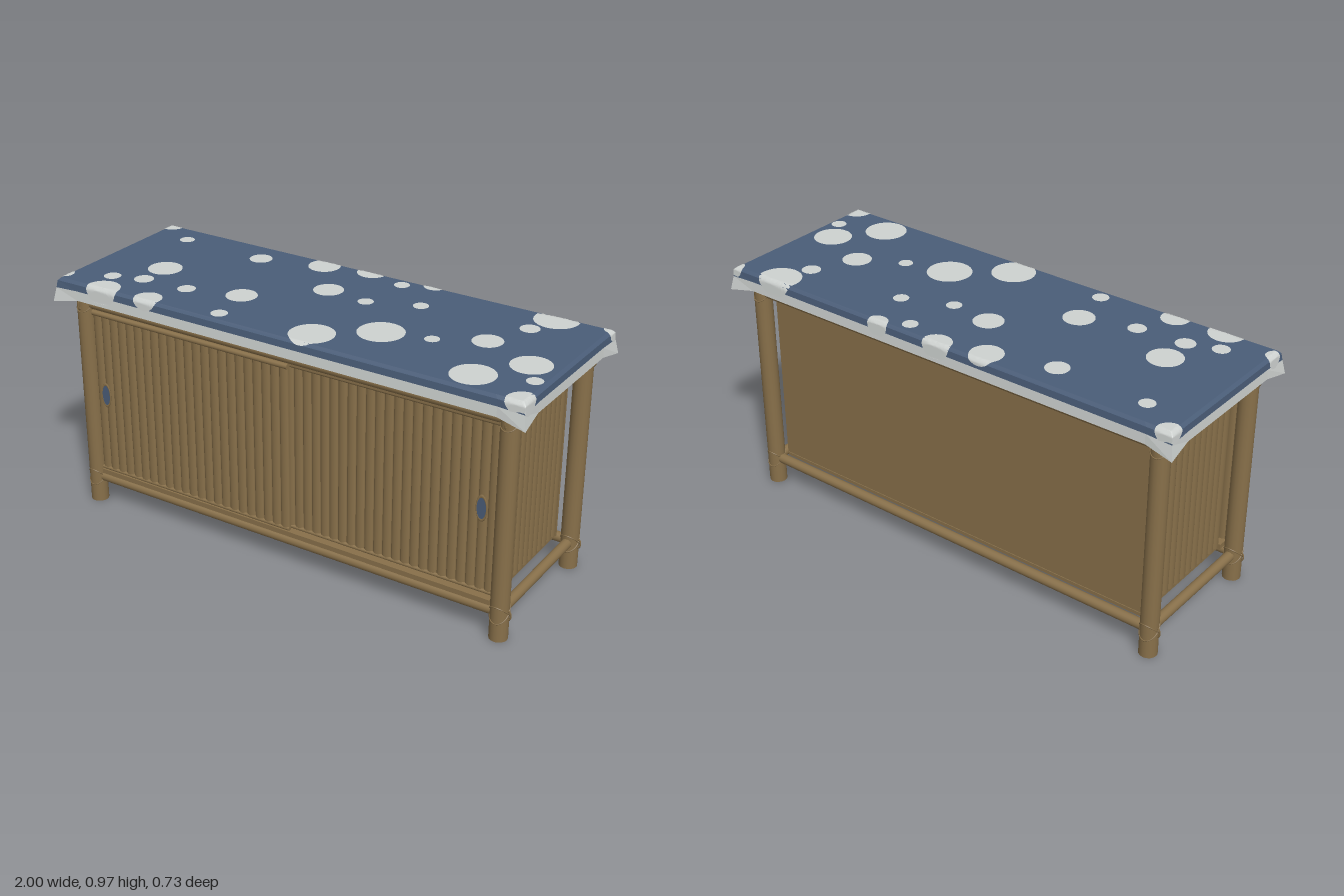
import * as THREE from 'three';

const mat = (name, color, side = THREE.FrontSide) => {
  const m = new THREE.MeshStandardMaterial({ color, side });
  m.name = name;
  return m;
};

export function createModel() {
  const bamboo = mat('bamboo', 0x88704a);
  const blue = mat('blueCloth', 0x4a5d78, THREE.DoubleSide);
  const white = mat('whiteCloth', 0xced2d0, THREE.DoubleSide);
  const root = new THREE.Group();
  root.name = 'cabinet';

  const add = (name, geo, material, x = 0, y = 0, z = 0, parent = root) => {
    const m = new THREE.Mesh(geo, material);
    m.name = name;
    m.position.set(x, y, z);
    parent.add(m);
    return m;
  };
  const box = (name, w, h, d, x, y, z) => add(name, new THREE.BoxGeometry(w, h, d), bamboo, x, y, z);
  const pole = (name, axis, r, len, x, y, z, parent = root) => {
    const g = new THREE.CylinderGeometry(r, r, len, 16);
    if (axis === 'x') g.rotateZ(Math.PI / 2);
    if (axis === 'z') g.rotateX(Math.PI / 2);
    return add(name, g, bamboo, x, y, z, parent);
  };

  // Rope crossing diagonally around a leg
  const lashing = (tilt) => {
    const pts = [];
    for (let i = 0; i < 20; i++) {
      const a = (i / 20) * Math.PI * 2;
      pts.push(new THREE.Vector3(0.035 * Math.cos(a), tilt * Math.sin(a), 0.035 * Math.sin(a)));
    }
    return new THREE.TubeGeometry(new THREE.CatmullRomCurve3(pts, true), 32, 0.0025, 5, true);
  };
  const ropes = [lashing(0.034), lashing(-0.034)];
  const knot = new THREE.TorusGeometry(0.011, 0.003, 5, 12);

  // Legs with lashings and knots
  for (const sx of [-1, 1]) for (const sz of [-1, 1]) {
    pole('leg', 'y', 0.035, 0.893, sx * 0.91, 0.4465, sz * 0.285);
    for (const y of [0.108, 0.862]) {
      for (const rope of ropes) add('lashing', rope, bamboo, sx * 0.91, y, sz * 0.285);
      add('knot', knot, bamboo, sx * 0.943, y - 0.005, sz * 0.285).scale.y = 1.7;
    }
    if (sz > 0) {
      const k = add('knot', knot, bamboo, sx * 0.91, 0.862, 0.32);
      k.rotation.y = Math.PI / 2;
      k.scale.y = 1.7;
    }
  }

  // Rails joining the legs
  for (const y of [0.108, 0.86]) for (const s of [-1, 1]) {
    pole('longRail', 'x', 0.02, 1.76, 0, y, s * 0.285);
    pole('sideRail', 'z', 0.02, 0.51, s * 0.91, y, 0);
  }

  // Floor, back and door track
  box('floor', 1.72, 0.014, 0.53, 0, 0.128, 0);
  box('backPanel', 1.73, 0.725, 0.012, 0, 0.488, -0.256);
  box('doorTrack', 1.75, 0.02, 0.055, 0, 0.138, 0.272);
  box('upperTrack', 1.75, 0.02, 0.035, 0, 0.838, 0.265);

  // A row of rounded slats on a thin backing, facing +z
  const slatPanel = (name, width, y0, y1, count) => {
    const g = new THREE.Group();
    g.name = name;
    const pitch = width / count;
    const h = y1 - y0;
    add('backing', new THREE.BoxGeometry(width, h, 0.006), bamboo, 0, (y0 + y1) / 2, 0, g);
    const slat = new THREE.CylinderGeometry(pitch * 0.5, pitch * 0.5, h, 12);
    slat.scale(1, 1, 0.55);
    for (let i = 0; i < count; i++)
      add('slat', slat, bamboo, (i + 0.5) * pitch - width / 2, (y0 + y1) / 2, 0.002, g);
    root.add(g);
    return g;
  };

  // Side panels
  for (const s of [-1, 1]) {
    const p = slatPanel('sidePanel', 0.5, 0.14, 0.84, 13);
    p.position.x = s * 0.857;
    p.rotation.y = s * Math.PI / 2;
  }

  // Sliding doors, the right one in front, with oval pulls
  const doors = [[-0.872, 0.03, 0.286, -0.825], [0.0, 0.872, 0.262, 0.815]];
  for (const [x0, x1, z, pullX] of doors) {
    const w = x1 - x0, mid = (x0 + x1) / 2;
    const d = slatPanel('slidingDoor', w, 0.152, 0.835, 23);
    d.position.set(mid, 0, z);
    pole('doorTopBar', 'x', 0.011, w, 0, 0.828, 0.006, d);
    pole('doorBottomBar', 'x', 0.008, w, 0, 0.158, 0.006, d);
    const plate = new THREE.CylinderGeometry(0.02, 0.02, 0.006, 24).rotateX(Math.PI / 2);
    plate.scale(1, 2.3, 1);
    add('pullPlate', plate, blue, pullX - mid, 0.49, 0.014, d);
    const rim = new THREE.TorusGeometry(0.02, 0.003, 6, 24).scale(1, 2.3, 1);
    add('pullRim', rim, bamboo, pullX - mid, 0.49, 0.015, d);
  }

  // Table top under the cloth
  box('tableTop', 1.93, 0.06, 0.66, 0, 0.925, 0);

  // Cloth rings: twelve points each, with corners that flare and droop
  const ring = ([y, hx, hz, flare, droop]) => {
    const pts = [];
    const q = 0.1;
    for (const [sx, sz] of [[1, 1], [1, -1], [-1, -1], [-1, 1]]) {
      const corner = [
        [sx * (hx - q), y, sz * hz],
        [sx * (hx + flare), y - droop, sz * (hz + flare)],
        [sx * hx, y, sz * (hz - q)],
      ];
      if (sx * sz < 0) corner.reverse();
      pts.push(...corner);
    }
    return pts;
  };
  const skirt = (levels) => {
    const rings = levels.map(ring);
    const v = [];
    for (let k = 0; k + 1 < rings.length; k++) for (let i = 0; i < 12; i++) {
      const j = (i + 1) % 12;
      const [a, b, c, d] = [rings[k][i], rings[k + 1][i], rings[k + 1][j], rings[k][j]];
      v.push(...a, ...b, ...c, ...a, ...c, ...d);
    }
    const g = new THREE.BufferGeometry();
    g.setAttribute('position', new THREE.Float32BufferAttribute(v, 3));
    g.computeVertexNormals();
    return g;
  };
  const TOP = 0.965, HX = 0.975, HZ = 0.338;
  add('clothTop', new THREE.PlaneGeometry(HX * 2, HZ * 2).rotateX(-Math.PI / 2), blue, 0, TOP, 0);
  add('clothEdge', skirt([
    [TOP, HX, HZ, 0, 0], [0.955, 0.987, 0.35, 0, 0.001], [0.93, 0.989, 0.353, 0.002, 0.004],
  ]), blue);
  add('clothHem', skirt([
    [0.93, 0.989, 0.353, 0.002, 0.004], [0.893, 0.991, 0.356, 0.01, 0.022],
  ]), white);

  // Dots as thin discs that fold over the cloth edge: x, z, radius
  const dots = [
    [-0.97, -0.34, 0.05], [-0.82, -0.24, 0.03], [-0.45, -0.23, 0.045], [-0.2, -0.3, 0.063],
    [-0.01, -0.345, 0.06], [0.15, -0.295, 0.03], [0.26, -0.355, 0.045], [0.31, -0.16, 0.03],
    [0.78, -0.315, 0.085], [0.735, -0.19, 0.037], [-0.055, -0.105, 0.058], [0.12, -0.085, 0.03],
    [0.66, 0.015 - 0.03, 0.057], [0.49, 0.075, 0.028], [0.875, 0.08, 0.075], [0.94, 0.185, 0.03],
    [0.31, 0.12, 0.087], [0.745, 0.25, 0.082], [0.115, 0.265, 0.085], [-0.265, 0.295, 0.032],
    [-0.295, 0.115, 0.06], [-0.505, 0.175, 0.035], [-0.7, 0.055, 0.067], [-0.7, 0.185, 0.038],
    [-0.82, 0.225, 0.033], [-0.775, 0.34, 0.07], [-0.57, 0.325, 0.055], [0.97, 0.33, 0.06],
    [-0.99, 0.3, 0.035], [0.985, -0.345, 0.035],
  ];
  const fold = (v, h) => {
    const e = Math.max(0, Math.abs(v) - h);
    const out = e > 0 ? Math.min(e, 0.012) + 0.002 + 0.06 * e : 0;
    return [e > 0 ? Math.sign(v) * (h + out) : v, e];
  };
  for (const [x, z, r] of dots) {
    const g = new THREE.RingGeometry(0, r, 36, 14).rotateX(-Math.PI / 2);
    const p = g.attributes.position;
    for (let i = 0; i < p.count; i++) {
      const [px, ex] = fold(p.getX(i) + x, HX);
      const [pz, ez] = fold(p.getZ(i) + z, HZ);
      p.setXYZ(i, px, TOP + 0.0015 - Math.min(0.06, Math.max(ex, ez)), pz);
    }
    g.computeVertexNormals();
    add('clothDot', g, white);
  }
  
  // Centre the model on the floor
  const b = new THREE.Box3().setFromObject(root);
  root.position.set(-(b.min.x + b.max.x) / 2, -b.min.y, -(b.min.z + b.max.z) / 2);
  return root;
}
